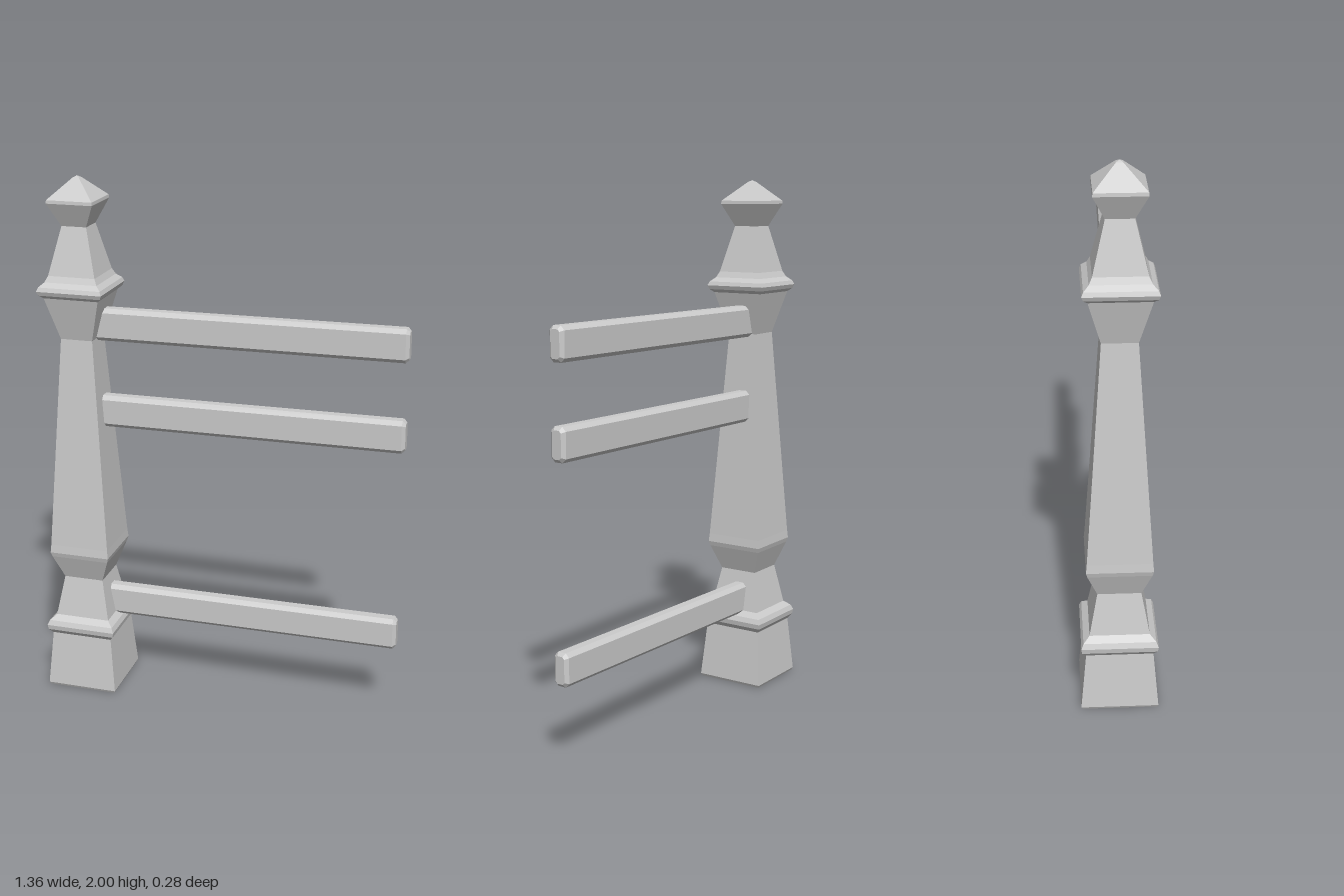
import * as THREE from 'three';

const material = new THREE.MeshStandardMaterial({ color: 0xcccccc, flatShading: true });

// Square turned post: half-width and height from base to tip
const POST_PROFILE = [
  [0, 0], [0.133, 0], [0.138, 0.01], [0.119, 0.225],
  [0.133, 0.243], [0.136, 0.262], [0.128, 0.281], [0.106, 0.3],
  [0.077, 0.455], [0.112, 0.55], [0.117, 0.568], [0.114, 0.6],
  [0.061, 1.41], [0.104, 1.57], [0.118, 1.582], [0.124, 1.597],
  [0.118, 1.612], [0.1, 1.628], [0.089, 1.65], [0.047, 1.825],
  [0.087, 1.91], [0.086, 1.922], [0.012, 1.993], [0, 2],
];

function createPost() {
  const points = POST_PROFILE.map(([r, y]) => new THREE.Vector2(r * Math.SQRT2, y));
  const post = new THREE.Mesh(new THREE.LatheGeometry(points, 4, Math.PI / 4), material);
  post.name = 'post';
  post.position.x = -0.541;
  return post;
}

// Rail with chamfered long edges and a chamfered free end, running along +x
function createRailGeometry(length, height, depth, chamfer) {
  const bevel = 0.012;
  const w = depth / 2 - bevel, h = height / 2 - bevel, c = chamfer;
  const section = new THREE.Shape([
    [w - c, -h], [w, -h + c], [w, h - c], [w - c, h],
    [-w + c, h], [-w, h - c], [-w, -h + c], [-w + c, -h],
  ].map(([x, y]) => new THREE.Vector2(x, y)));
  const geometry = new THREE.ExtrudeGeometry(section, {
    depth: length - 2 * bevel, bevelEnabled: true,
    bevelThickness: bevel, bevelSize: bevel, bevelSegments: 1,
  });
  geometry.translate(0, 0, bevel - length);
  geometry.rotateY(Math.PI / 2);
  return geometry;
}

export function createModel() {
  const fence = new THREE.Group();
  fence.name = 'fencePost';
  fence.add(createPost());

  // Three slightly skewed rails, anchored at their free ends
  const railGeometry = createRailGeometry(1.19, 0.122, 0.062, 0.008);
  const names = ['lowerRail', 'middleRail', 'upperRail'];
  [0.361, 1.139, 1.473].forEach((y, i) => {
    const rail = new THREE.Mesh(railGeometry, material);
    rail.name = names[i];
    rail.position.set(0.676, y, 0.006);
    rail.rotation.set(0, -0.016, 0.011);
    fence.add(rail);
  });
  return fence;
}
